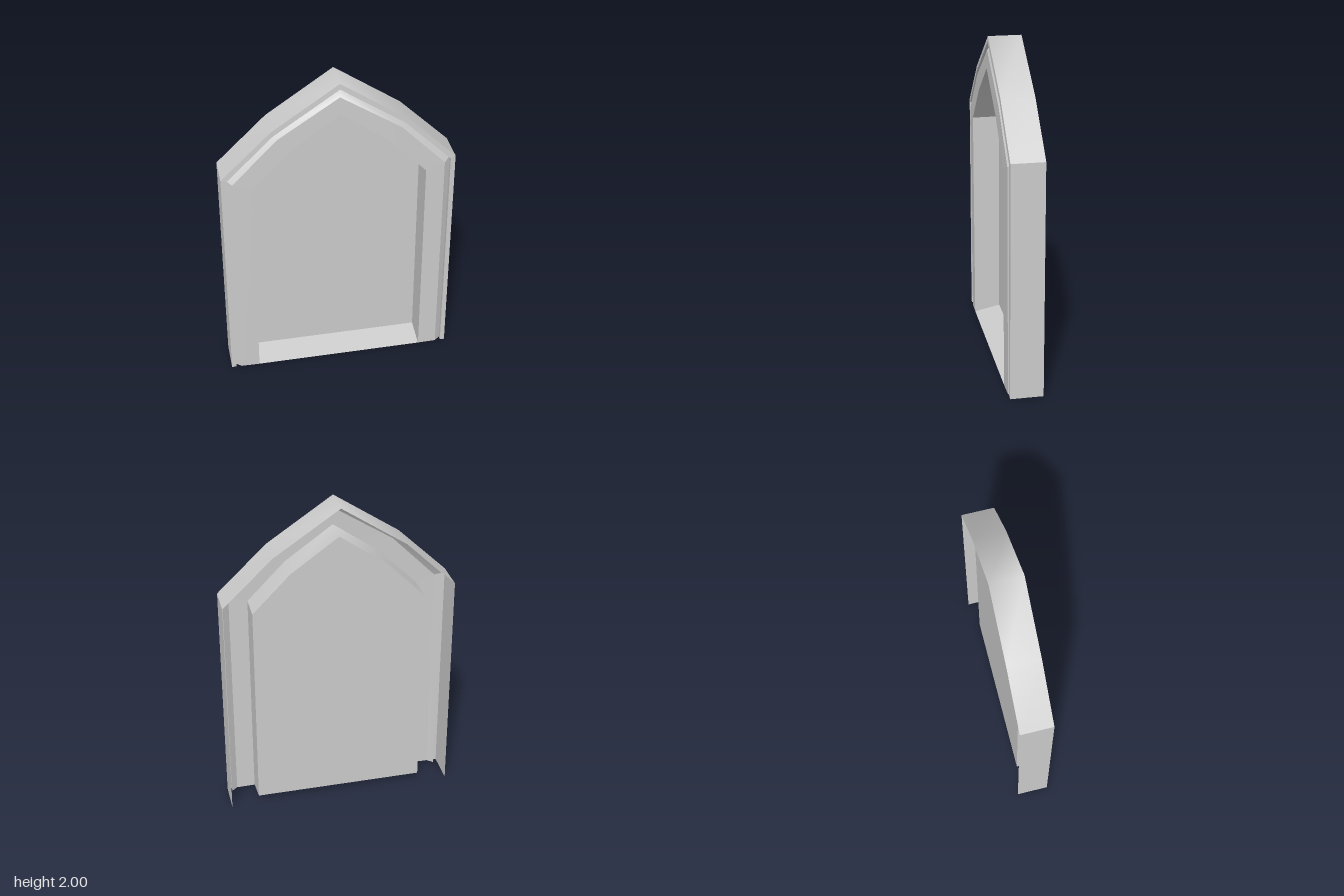
import * as THREE from 'three';
import { mergeGeometries } from 'three/addons/utils/BufferGeometryUtils.js';

const material = new THREE.MeshStandardMaterial({ color: 0xcccccc, side: THREE.DoubleSide });

// Pointed-arch outline from the +x foot over the apex to the -x foot.
// zFoot and zTop let the face bow slightly forward towards the arch.
function archLine(foot, shoulder, haunch, apex, zFoot, zTop = zFoot, footY = 0) {
  const half = [
    new THREE.Vector3(foot, footY, zFoot),
    new THREE.Vector3(shoulder[0], shoulder[1], zTop),
    new THREE.Vector3(haunch[0], haunch[1], zTop),
  ];
  const mirrored = half.map((p) => new THREE.Vector3(-p.x, p.y, p.z)).reverse();
  return [...half, new THREE.Vector3(0, apex, zTop), ...mirrored];
}

// Surface between two lines, smooth along its own length
function strip(a, b) {
  const n = a.length;
  const geometry = new THREE.BufferGeometry().setFromPoints([...a, ...b]);
  const index = [];
  for (let i = 0; i < n - 1; i++) {
    index.push(i, i + 1, n + i, i + 1, n + i + 1, n + i);
  }
  geometry.setIndex(index);
  geometry.computeVertexNormals();
  return geometry;
}

// Band around the opening: two straight legs and a smooth arch, creased at the shoulders
function band(a, b) {
  const spans = [[0, 2], [1, 6], [5, 7]];
  return mergeGeometries(spans.map(([s, e]) => strip(a.slice(s, e), b.slice(s, e))));
}

export function createModel() {
  const group = new THREE.Group();
  const add = (name, geometry) => {
    const mesh = new THREE.Mesh(geometry, material);
    mesh.name = name;
    group.add(mesh);
  };

  // Arch outlines, from the outside inwards
  const outer = (z) => archLine(0.705, [0.7, 1.44], [0.4, 1.73], 2, z);
  const lip = (z0, z1) => archLine(0.677, [0.671, 1.425], [0.388, 1.703], 1.965, z0, z1);
  const bead = (z0, z1) => archLine(0.642, [0.635, 1.403], [0.367, 1.678], 1.917, z0, z1);
  const inner = (z0, z1, y) => archLine(0.527, [0.521, 1.363], [0.29, 1.6], 1.808, z0, z1, y);

  const backOuter = outer(-0.104);
  const frontOuter = outer(0.096);
  const lipFront = lip(0.096, 0.098);
  const lipBack = lip(0.068, 0.07);
  const beadFront = bead(0.097, 0.101);
  const innerFront = inner(0.099, 0.104);
  const innerBack = inner(-0.066, -0.066, 0.035);

  // Casing and stepped moulding
  add('outerCasing', band(backOuter, frontOuter));
  add('outerTrim', band(frontOuter, lipFront));
  add('trimStep', band(lipFront, lipBack));
  add('moulding', band(lipBack, beadFront));
  add('frameFace', band(beadFront, innerFront));

  // Reveal running back to the recessed panel
  add('reveal', band(innerFront, innerBack));

  // Sloping sill at the foot of the opening
  add('sill', strip([innerFront[6], innerFront[0]], [innerBack[6], innerBack[0]]));

  // Recessed panel closing the opening
  const shape = new THREE.Shape(innerBack.map((p) => new THREE.Vector2(p.x, p.y)));
  add('panel', new THREE.ShapeGeometry(shape).translate(0, 0, -0.066));

  return group;
}
